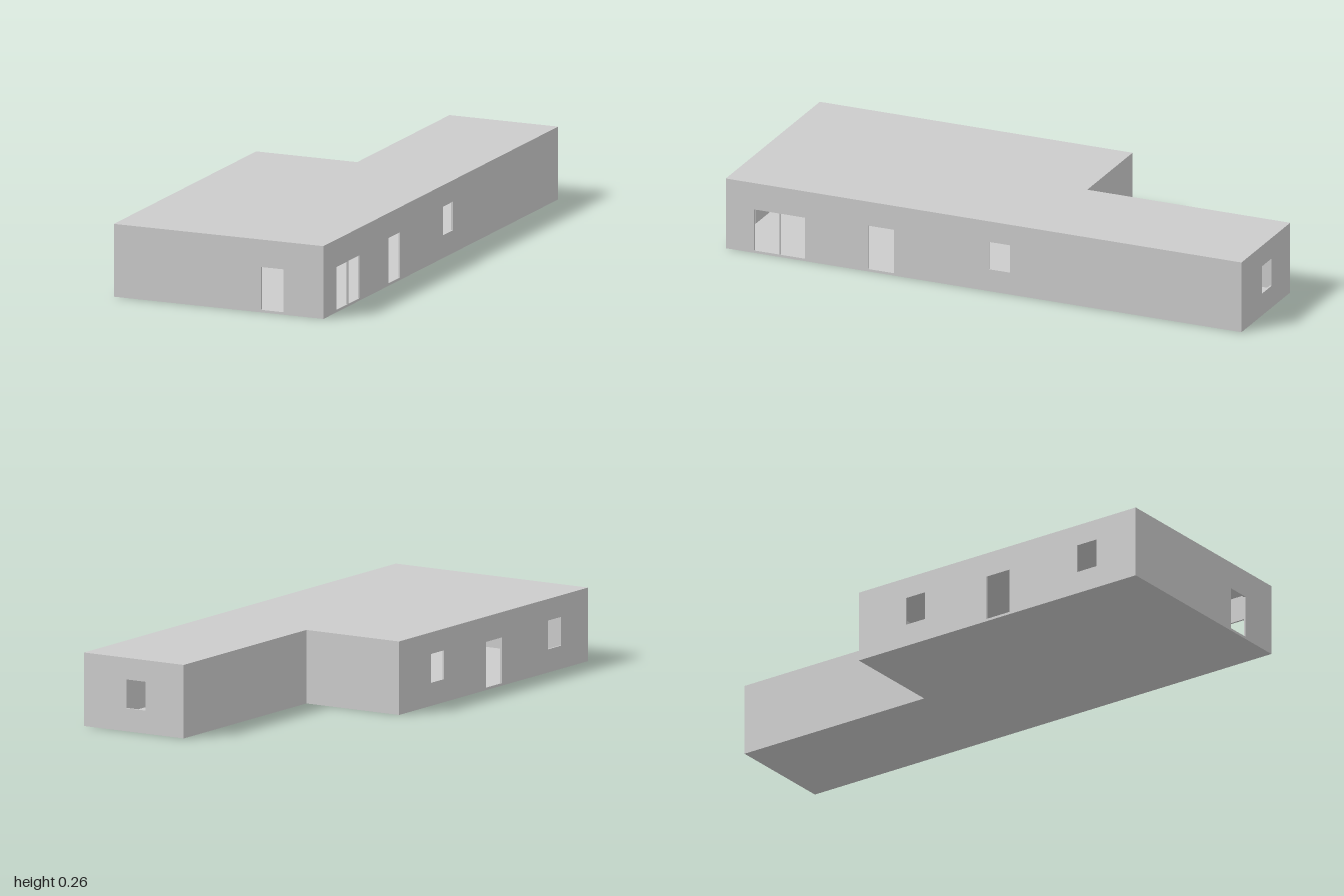
import * as THREE from 'three';

const X = 0.408, Z = 1, H = 0.265, T = 0.007; // half width, half length, height, wall thickness
const NX = -0.015, NZ = -0.213;               // inner corner of the L-shaped plan
const SILL = 0.083, HEAD = 0.187, STEP = 0.009;

const material = new THREE.MeshStandardMaterial({ color: 0xcccccc, flatShading: true });

// L-shaped horizontal slab with its underside at height y
function slab(name, y) {
  const plan = new THREE.Shape([
    [-X, -Z], [X, -Z], [X, Z], [NX, Z], [NX, -NZ], [-X, -NZ],
  ].map(([x, v]) => new THREE.Vector2(x, v)));
  const mesh = new THREE.Mesh(
    new THREE.ExtrudeGeometry(plan, { depth: T, bevelEnabled: false }), material);
  mesh.rotation.x = -Math.PI / 2;
  mesh.position.y = y;
  mesh.name = name;
  return mesh;
}

function rect(PathType, u0, u1, y0, y1) {
  const p = new PathType();
  p.moveTo(u0, y0);
  p.lineTo(u1, y0);
  p.lineTo(u1, y1);
  p.lineTo(u0, y1);
  p.closePath();
  return p;
}

// Upright wall from u0 to u1 with openings given as [u0, u1, y0, y1]
function wall(name, u0, u1, openings = []) {
  const shape = rect(THREE.Shape, u0, u1, T, H - T);
  for (const o of openings) shape.holes.push(rect(THREE.Path, ...o));
  const mesh = new THREE.Mesh(
    new THREE.ExtrudeGeometry(shape, { depth: T, bevelEnabled: false }), material);
  mesh.name = name;
  return mesh;
}

// Wall across the building, its rear surface at z
function crossWall(name, z, x0, x1, openings) {
  const mesh = wall(name, x0, x1, openings);
  mesh.position.z = z;
  return mesh;
}

// Wall along the building, its +x surface at x
function longWall(name, x, z0, z1, openings) {
  const mesh = wall(name, z0, z1, openings);
  mesh.rotation.y = -Math.PI / 2;
  mesh.position.x = x;
  return mesh;
}

export function createModel() {
  const model = new THREE.Group();
  model.name = 'building';

  model.add(slab('floor', 0), slab('roof', H - T));

  // Front wall with door, rear wall with window
  model.add(crossWall('frontWall', Z - T, -X, X, [[0.165, 0.252, STEP, 0.165]]));
  model.add(crossWall('rearWall', -Z, NX, X, [[0.147, 0.228, SILL, HEAD]]));

  // Long wall: window, door and double patio door
  model.add(longWall('leftWall', X, -Z, Z, [
    [-0.103, -0.02, SILL, HEAD],
    [0.347, 0.447, STEP, 0.174],
    [0.692, 0.788, STEP, 0.165],
    [0.793, 0.89, STEP, 0.165],
  ]));

  // Opposite wall: two windows and a door
  model.add(longWall('rightWall', -X + T, NZ, Z, [
    [-0.006, 0.077, SILL, HEAD],
    [0.347, 0.447, STEP, 0.174],
    [0.743, 0.828, SILL, HEAD],
  ]));

  // Blank walls around the recessed corner
  model.add(crossWall('recessRearWall', NZ, -X, NX + T));
  model.add(longWall('recessSideWall', NX + T, -Z, NZ + T));

  return model;
}
